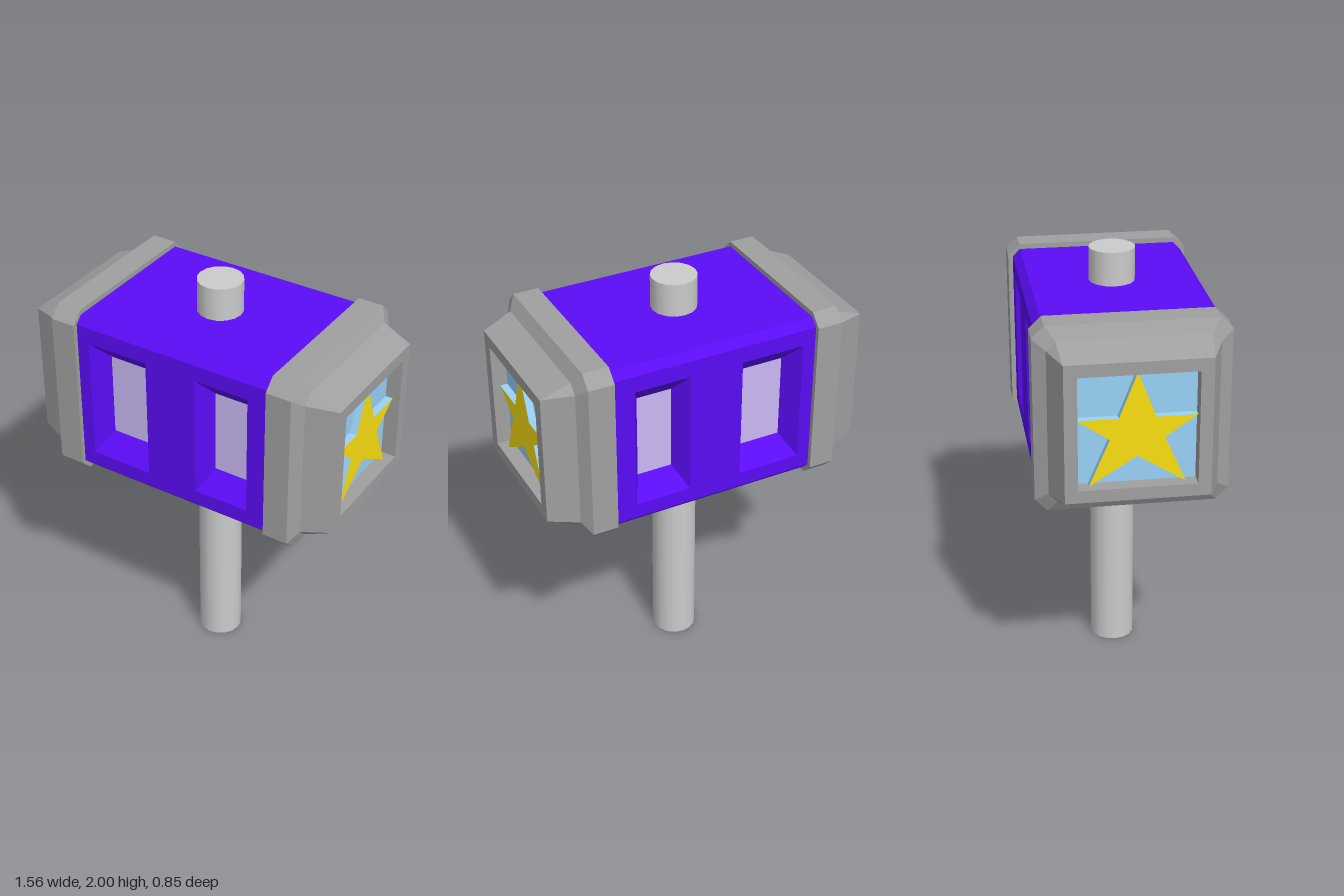
import * as THREE from 'three';

const mat = (color) => new THREE.MeshStandardMaterial({ color });
const grey = mat(0xcccccc), metal = mat(0xa0a0a0), purple = mat(0x5a0cf5);
const lilac = mat(0xcbb8f5), blue = mat(0x99d2f7), yellow = mat(0xfbe010);
const V = (x, y, z) => new THREE.Vector3(x, y, z);
const CY = 1.442; // height of the head's axis

function mesh(geometry, material, name) {
  const m = new THREE.Mesh(geometry, material);
  m.name = name;
  return m;
}

// Flat-shaded skin between successive loops of points
function loft(loops, closed = true) {
  const pos = [];
  const tri = (a, b, c) => {
    if (b.clone().sub(a).cross(c.clone().sub(a)).length() > 1e-8) {
      for (const p of [a, b, c]) pos.push(p.x, p.y, p.z);
    }
  };
  for (let k = 0; k + 1 < loops.length; k++) {
    const p = loops[k], q = loops[k + 1], n = p.length;
    for (let i = 0; i < (closed ? n : n - 1); i++) {
      const j = (i + 1) % n;
      tri(p[i], p[j], q[j]);
      tri(p[i], q[j], q[i]);
    }
  }
  const g = new THREE.BufferGeometry();
  g.setAttribute('position', new THREE.Float32BufferAttribute(pos, 3));
  g.computeVertexNormals();
  return g;
}

// Square loop with cut corners, facing +x
function ring(x, h, c) {
  const k = h - c;
  return [[h, -k], [h, k], [k, h], [-k, h], [-h, k], [-h, -k], [-k, -h], [k, -h]]
    .map(([r, u]) => V(x, u, -r));
}

// Striking end: band, tapered cap, square recess and raised star
function hammerEnd(name) {
  const g = new THREE.Group();
  g.name = name;
  g.add(mesh(loft([
    ring(0.49, 0.38, 0.04), ring(0.49, 0.427, 0.055), ring(0.61, 0.427, 0.055),
    ring(0.645, 0.37, 0.04), ring(0.78, 0.315, 0), ring(0.78, 0.258, 0), ring(0.71, 0.258, 0),
  ]), metal, 'endCap'));

  const panel = mesh(new THREE.PlaneGeometry(0.516, 0.516), blue, 'recessPanel');
  panel.rotation.y = Math.PI / 2;
  panel.position.x = 0.71;
  g.add(panel);

  const half = [[0, 0.256], [0.08, 0.05], [0.257, 0.05], [0.118, -0.045], [0.208, -0.257], [0, -0.125]];
  const left = half.slice(1, -1).reverse().map(([x, y]) => [-x, y]);
  const shape = new THREE.Shape([...half, ...left].map(([x, y]) => new THREE.Vector2(x, y)));
  const star = mesh(new THREE.ExtrudeGeometry(shape, { depth: 0.035, bevelEnabled: false }), [yellow, blue], 'star');
  star.rotation.y = Math.PI / 2;
  star.position.x = 0.71;
  g.add(star);
  g.position.y = CY;
  return g;
}

// Long side of the head with two splayed window recesses
const HX = 0.5, HZ = 0.405, FY = 0.368, DEPTH = 0.09;
function headSide(flip, name) {
  const g = new THREE.Group();
  g.name = name;
  const rect = (x0, x1, y0, y1, z) => {
    const [a, b] = [x0 * flip, x1 * flip].sort((p, q) => p - q);
    return [V(a, y0, z), V(b, y0, z), V(b, y1, z), V(a, y1, z)];
  };
  const flat = (pts) => pts.map((p) => new THREE.Vector2(p.x, p.y));
  const wall = new THREE.Shape(flat(rect(-HX, HX, -FY, FY, 0)));
  for (const [o0, o1, i0, i1] of [[-0.43, -0.127, -0.375, -0.18], [0.125, 0.39, 0.175, 0.34]]) {
    const outer = rect(o0, o1, -0.297, 0.29, HZ);
    const inner = rect(i0, i1, -0.207, 0.195, HZ - DEPTH);
    wall.holes.push(new THREE.Path(flat(outer)));
    g.add(mesh(loft([outer, inner]), purple, 'windowFrame'));
    const pane = mesh(new THREE.ShapeGeometry(new THREE.Shape(flat(inner))), lilac, 'windowPane');
    pane.position.z = HZ - DEPTH;
    g.add(pane);
  }
  const face = mesh(new THREE.ShapeGeometry(wall), purple, 'sideWall');
  face.position.z = HZ;
  g.add(face);
  g.position.y = CY;
  return g;
}

export function createModel() {
  const model = new THREE.Group();
  model.name = 'hammer';

  const handle = mesh(new THREE.CylinderGeometry(0.105, 0.105, 2, 16), grey, 'handle');
  handle.position.y = 1;
  model.add(handle);

  // Top and bottom of the head with chamfered long edges
  for (const s of [1, -1]) {
    const edge = (x) => [[FY, -HZ], [0.403, -0.37], [0.403, 0.37], [FY, HZ]]
      .map(([y, z]) => V(x, y * s, z * s));
    const skin = mesh(loft([edge(-HX), edge(HX)], false), purple, s > 0 ? 'headTop' : 'headBottom');
    skin.position.y = CY;
    model.add(skin);
  }

  const back = headSide(-1, 'backSide');
  back.rotation.y = Math.PI;
  const rightEnd = hammerEnd('rightEnd');
  rightEnd.rotation.y = Math.PI;
  model.add(headSide(1, 'frontSide'), back, hammerEnd('leftEnd'), rightEnd);
  return model;
}
